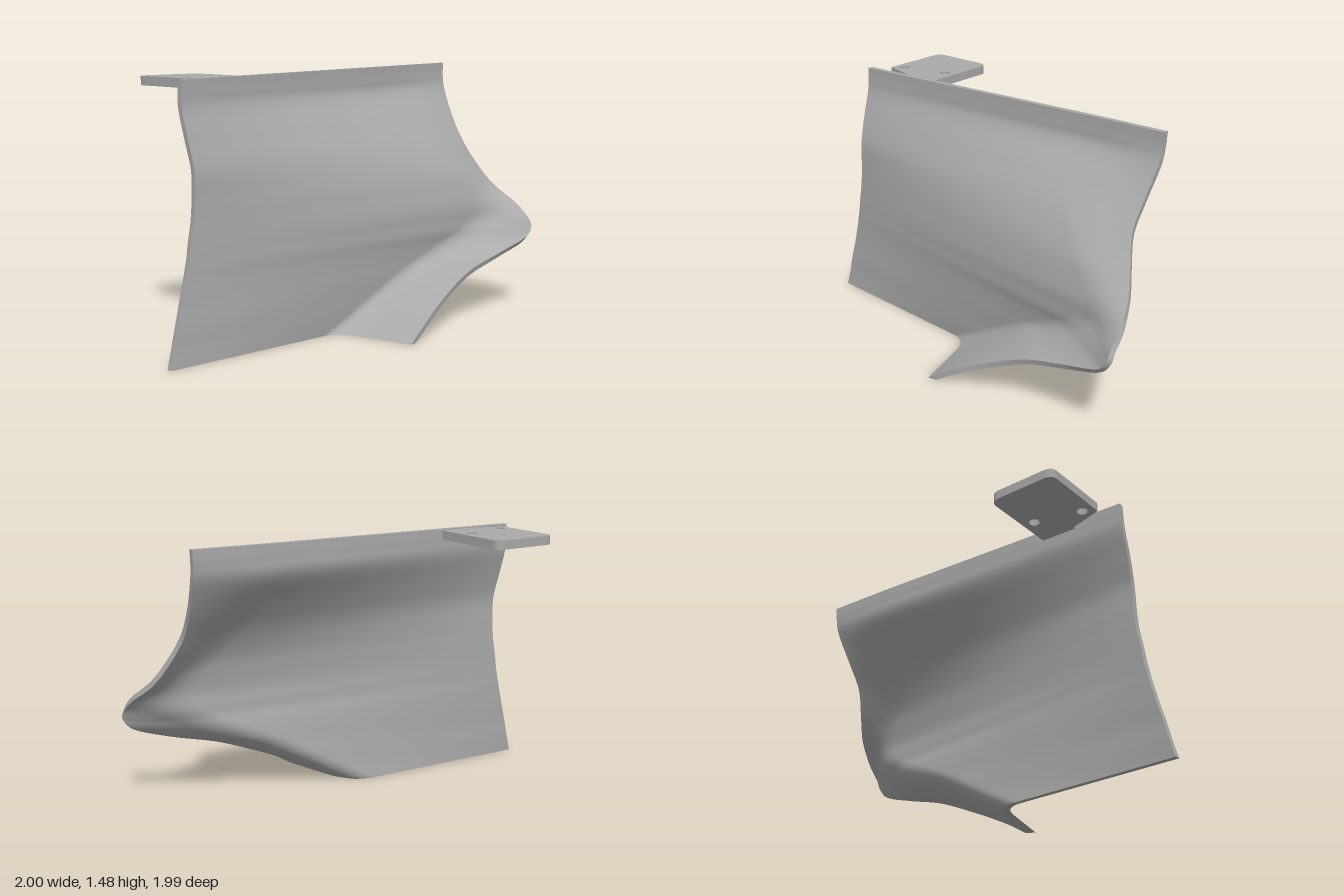
import * as THREE from 'three';

// Key levels of the sheet: y, left edge x z, fold x z, right edge x z
const LEVELS = [
  [0, -.63, .99, 0, .09, .45, .22],
  [.1, -.62, .965, .12, -.05, .51, .07],
  [.2, -.608, .945, .23, -.18, .58, -.13],
  [.3, -.597, .92, .345, -.31, .68, -.35],
  [.37, -.589, .905, .44, -.42, .82, -.56],
  [.44, -.58, .89, .54, -.53, .96, -.73],
  [.5, -.573, .88, .63, -.62, .995, -.78],
  [.56, -.566, .87, .69, -.69, .97, -.8],
  [.64, -.56, .86, .71, -.71, .89, -.84],
  [.74, -.55, .845, .67, -.69, .755, -.865],
  [.85, -.545, .837, .59, -.64, .66, -.862],
  [1, -.545, .833, .46, -.6, .56, -.86],
  [1.15, -.58, .82, .32, -.59, .48, -.91],
  [1.3, -.617, .8, .2, -.62, .42, -.965],
  [1.38, -.622, .795, .19, -.63, .405, -.98],
  [1.45, -.622, .793, .19, -.63, .405, -.985],
];
const THICKNESS = 0.03, ROWS = 90, PANEL = 24, FILLET = 14, FLANGE = 12;

// Spline through one of the three column pairs
const rail = (c) => new THREE.CatmullRomCurve3(
  LEVELS.map((l) => new THREE.Vector3(l[c], l[0], l[c + 1])), false, 'catmullrom', 0.5);

// One horizontal section: straight panel, rounded fold, straight flange
function section(L, C, R) {
  const a = C.clone().lerp(L, 0.11 / C.distanceTo(L));
  const b = C.clone().lerp(R, Math.min(0.55, 0.13 / C.distanceTo(R)));
  const fold = new THREE.QuadraticBezierCurve3(a, C, b);
  const pts = [];
  for (let i = 0; i < PANEL; i++) pts.push(L.clone().lerp(a, i / PANEL));
  for (let i = 0; i < FILLET; i++) pts.push(fold.getPoint(i / FILLET));
  for (let i = 0; i <= FLANGE; i++) pts.push(b.clone().lerp(R, i / FLANGE));
  // The top edge rises slightly towards the right
  for (const p of pts) {
    p.y += 0.033 * THREE.MathUtils.clamp((p.x + 0.62) / 1.03, 0, 1) * Math.pow(p.y / 1.45, 6);
  }
  return pts;
}

// Smooth surface over a grid of points
function gridGeometry(grid, flip = false) {
  const w = grid[0].length, index = [];
  for (let j = 0; j < grid.length - 1; j++) {
    for (let i = 0; i < w - 1; i++) {
      const a = j * w + i, b = a + 1, c = a + w, d = c + 1;
      if (flip) index.push(a, d, b, a, c, d);
      else index.push(a, b, d, a, d, c);
    }
  }
  const g = new THREE.BufferGeometry().setFromPoints(grid.flat());
  g.setIndex(index);
  g.computeVertexNormals();
  return g;
}

export function createModel() {
  const model = new THREE.Group();
  const grey = new THREE.MeshStandardMaterial({ color: 0xaaaaaa });
  grey.name = 'plain grey';
  const add = (parent, name, geometry) => {
    const mesh = new THREE.Mesh(geometry, grey);
    mesh.name = name;
    parent.add(mesh);
  };

  // Formed sheet
  const sheet = new THREE.Group();
  sheet.name = 'formedPanel';
  model.add(sheet);
  const [left, fold, right] = [1, 3, 5].map(rail);
  const outer = [];
  for (let j = 0; j <= ROWS; j++) {
    const t = j / ROWS;
    outer.push(section(left.getPoint(t), fold.getPoint(t), right.getPoint(t)));
  }
  const outerGeometry = gridGeometry(outer);
  const normals = outerGeometry.attributes.normal;
  const width = outer[0].length;
  const inner = outer.map((row, j) => row.map((p, i) => {
    const n = new THREE.Vector3().fromBufferAttribute(normals, j * width + i);
    if (j === 0 || j === ROWS) n.setY(0).normalize();
    const q = p.clone().addScaledVector(n, -THICKNESS);
    q.y = Math.max(q.y, 0);
    return q;
  }));
  add(sheet, 'outerFace', outerGeometry);
  add(sheet, 'innerFace', gridGeometry(inner, true));

  // Narrow rims closing the sheet
  const column = (grid, i) => grid.map((row) => row[i]);
  add(sheet, 'bottomRim', gridGeometry([inner[0], outer[0]]));
  add(sheet, 'topRim', gridGeometry([outer[ROWS], inner[ROWS]]));
  add(sheet, 'leftRim', gridGeometry([column(inner, 0), column(outer, 0)], true));
  add(sheet, 'rightRim', gridGeometry([column(outer, width - 1), column(inner, width - 1)], true));

  // Mounting plate with two rounded corners and two bolt holes (shape y is -z)
  const plate = new THREE.Shape();
  plate.moveTo(-0.405, -0.355);
  plate.lineTo(-0.505, -0.53);
  plate.lineTo(-0.525, -0.53);
  plate.lineTo(-0.665, -0.66);
  plate.lineTo(-0.98, -0.463);
  plate.quadraticCurveTo(-1.015, -0.44, -0.99, -0.395);
  plate.lineTo(-0.843, -0.155);
  plate.quadraticCurveTo(-0.813, -0.105, -0.765, -0.135);
  plate.closePath();
  for (const [x, z] of [[-0.593, 0.32], [-0.67, 0.58]]) {
    plate.holes.push(new THREE.Path().absarc(x, -z, 0.03, 0, Math.PI * 2, false));
  }
  const plateGeometry = new THREE.ExtrudeGeometry(plate, { depth: 0.05, bevelEnabled: false, curveSegments: 16 });
  plateGeometry.rotateX(-Math.PI / 2).translate(0, 1.4, 0);
  add(model, 'mountingPlate', plateGeometry);

  return model;
}
